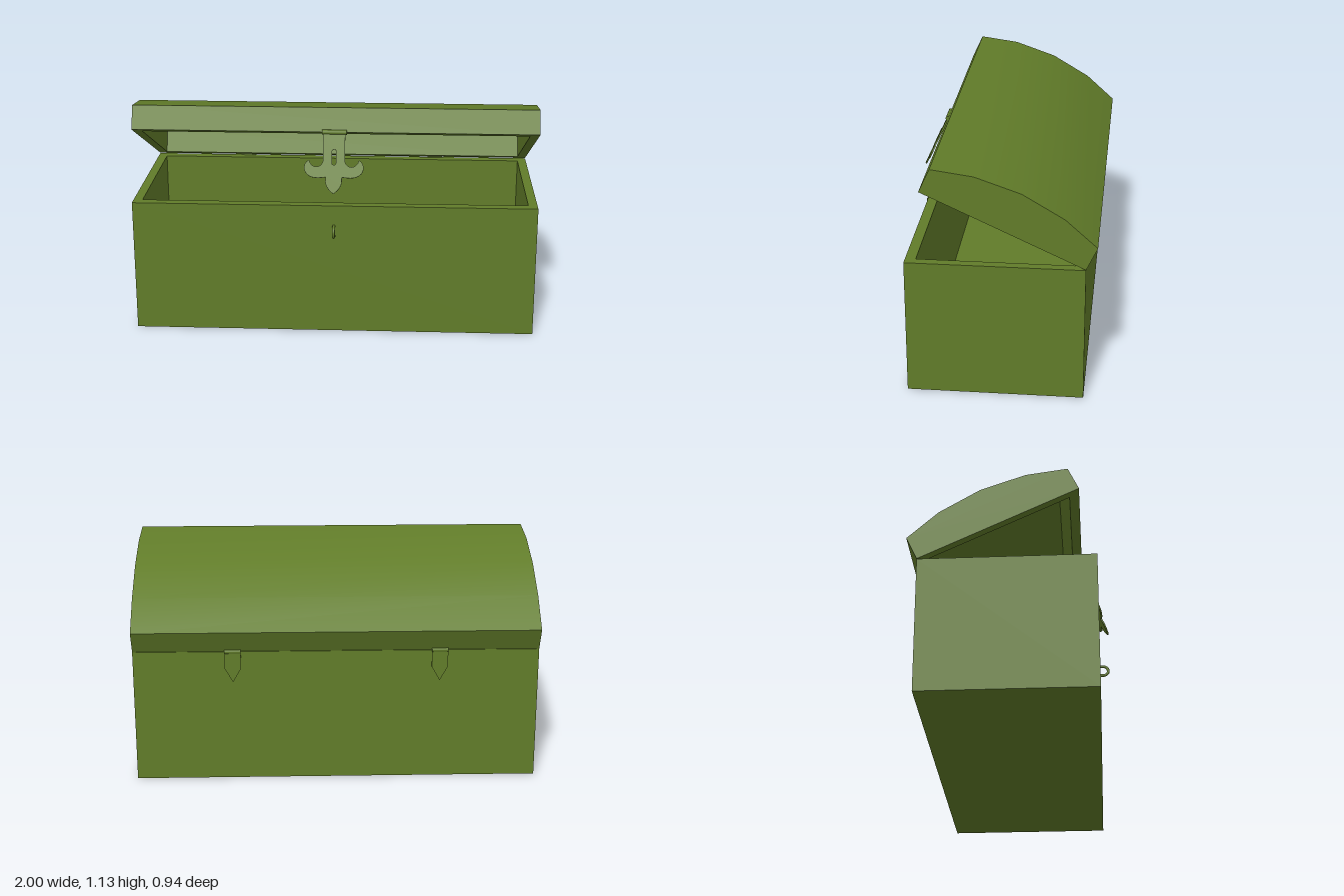
import * as THREE from 'three';
import { toCreasedNormals } from 'three/addons/utils/BufferGeometryUtils.js';

const W = 2, D = 0.833, H = 0.667;      // chest body
const HOLE_X = 0.955, WALL_Z = 0.05;    // inner opening
const LID_H = 0.122;                    // straight side height of the lid
const OPEN = THREE.MathUtils.degToRad(25);

export function createModel() {
  const root = new THREE.Group();
  root.name = 'chest';
  const mat = new THREE.MeshStandardMaterial({ color: 0x617c29 });

  const add = (parent, name, geo, x = 0, y = 0, z = 0) => {
    const m = new THREE.Mesh(geo, mat);
    m.name = name;
    m.position.set(x, y, z);
    parent.add(m);
    return m;
  };
  const poly = (pts) => new THREE.Shape(pts.map(([x, y]) => new THREE.Vector2(x, y)));
  const extrude = (shape, depth) =>
    new THREE.ExtrudeGeometry(shape, { depth, bevelEnabled: false, curveSegments: 8 });
  const rect = (x, y) => [[-x, -y], [x, -y], [x, y], [-x, y]];

  // Four walls around an opening, rising from y = 0
  const walls = (height) => {
    const s = poly(rect(W / 2, D / 2));
    s.holes.push(poly(rect(HOLE_X, D / 2 - WALL_Z).reverse()));
    return extrude(s, height).rotateX(-Math.PI / 2);
  };
  // Horizontal pin along x
  const pin = (r, len) => new THREE.CylinderGeometry(r, r, len, 12).rotateZ(Math.PI / 2);

  // Body
  add(root, 'bodyWalls', walls(H));
  add(root, 'bodyFloor',
    new THREE.BoxGeometry(HOLE_X * 2, 0.045, D - WALL_Z * 2), 0, 0.0225, 0);

  // Staple on the front wall that the clasp closes over
  const arc = [[0.4, 0.025], [0.42, 0.025]];
  for (let i = 0; i <= 8; i++) {
    const a = Math.PI / 2 - (i / 8) * Math.PI;
    arc.push([0.436 + 0.025 * Math.cos(a), 0.025 * Math.sin(a)]);
  }
  arc.push([0.42, -0.025], [0.4, -0.025]);
  const path = new THREE.CatmullRomCurve3(arc.map(([z, y]) => new THREE.Vector3(0, y, z)));
  add(root, 'staple', new THREE.TubeGeometry(path, 28, 0.0075, 8), 0, 0.536, 0);

  // Lid, tilted back about the rear top edge
  const lid = new THREE.Group();
  lid.name = 'lid';
  lid.position.set(0, H + 0.002, -D / 2);
  lid.rotation.x = -OPEN;
  root.add(lid);
  add(lid, 'lidWalls', walls(LID_H), 0, 0, D / 2);
  const cap = poly([[0, LID_H], [D, LID_H], [0.642, 0.181], [D / 2, 0.204], [0.191, 0.181]]);
  const capGeo = extrude(cap, W).translate(0, 0, -W / 2).rotateY(-Math.PI / 2);
  add(lid, 'lidTop', toCreasedNormals(capGeo, 0.35));

  // Clasp hanging from the lid's front edge
  const clasp = new THREE.Group();
  clasp.name = 'clasp';
  clasp.position.set(0, 0, D);
  lid.add(clasp);
  add(clasp, 'claspPin', pin(0.012, 0.12));
  const s = new THREE.Shape();
  s.moveTo(-0.053, 0);
  s.lineTo(-0.053, -0.14);
  s.bezierCurveTo(-0.058, -0.18, -0.11, -0.185, -0.122, -0.138);
  s.bezierCurveTo(-0.15, -0.15, -0.155, -0.195, -0.122, -0.215);
  s.bezierCurveTo(-0.1, -0.23, -0.065, -0.226, -0.04, -0.222);
  s.lineTo(-0.04, -0.245);
  s.quadraticCurveTo(-0.035, -0.28, 0, -0.303);
  s.quadraticCurveTo(0.035, -0.28, 0.04, -0.245);
  s.lineTo(0.04, -0.222);
  s.bezierCurveTo(0.065, -0.226, 0.1, -0.23, 0.122, -0.215);
  s.bezierCurveTo(0.155, -0.195, 0.15, -0.15, 0.122, -0.138);
  s.bezierCurveTo(0.11, -0.185, 0.058, -0.18, 0.053, -0.14);
  s.lineTo(0.053, 0);
  const slot = new THREE.Path();
  slot.absarc(0, -0.095, 0.01, 0, Math.PI);
  slot.lineTo(-0.01, -0.152);
  slot.absarc(0, -0.152, 0.01, Math.PI, Math.PI * 2);
  s.holes.push(slot);
  add(clasp, 'claspPlate', toCreasedNormals(extrude(s, 0.008), 0.6), 0, 0, -0.004);

  // Pair of pointed hinges on the back
  const leaf = poly([[-0.04, 0], [-0.04, -0.085], [0, -0.157], [0.04, -0.085], [0.04, 0]]);
  for (const x of [-0.51, 0.51]) {
    const hinge = new THREE.Group();
    hinge.name = x > 0 ? 'leftHinge' : 'rightHinge';
    hinge.position.set(x, H, -D / 2);
    root.add(hinge);
    add(hinge, 'hingePin', pin(0.011, 0.08), 0, 0.001, -0.001);
    add(hinge, 'hingeLeaf', extrude(leaf, 0.008), 0, 0, -0.007);
  }
  return root;
}
